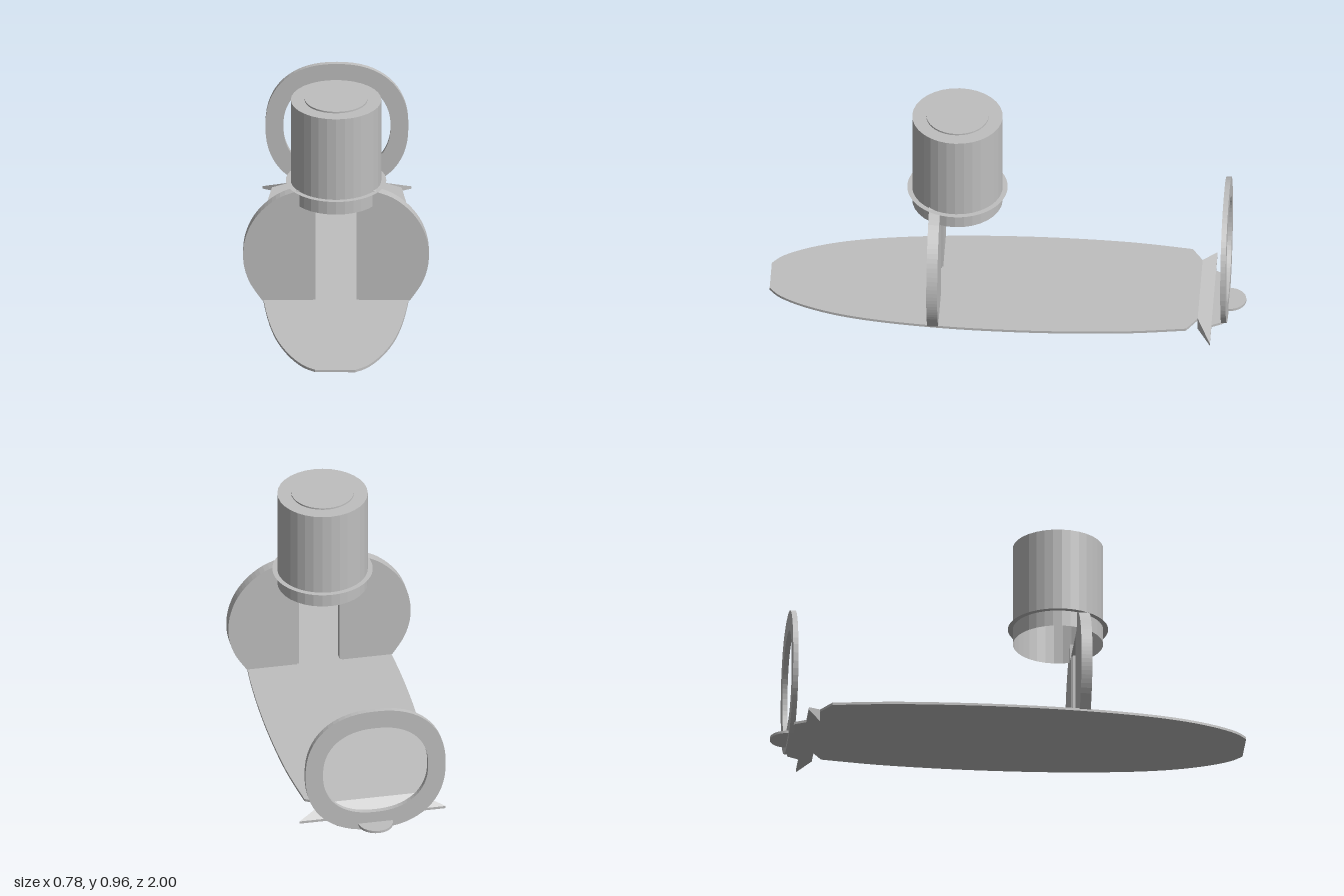
import * as THREE from 'three';
import { ConvexGeometry } from 'three/addons/geometries/ConvexGeometry.js';

const grey = new THREE.MeshStandardMaterial({ color: 0xbfbfbf });
grey.name = 'grey';
const greyOpen = grey;
greyOpen.side = THREE.DoubleSide; // the tube and collar are open surfaces

const vec = (pts) => pts.map(([x, y]) => new THREE.Vector2(x, y));

export function createModel() {
  const model = new THREE.Group();
  const add = (name, geometry, x = 0, y = 0, z = 0) => {
    const mesh = new THREE.Mesh(geometry, grey);
    mesh.name = name;
    mesh.position.set(x, y, z);
    model.add(mesh);
    return mesh;
  };
  const extrude = (shape, depth) =>
    new THREE.ExtrudeGeometry(shape, { depth, bevelEnabled: false, curveSegments: 24 });
  // Plate drawn in plan (x, z), hanging down from its top
  const plate = (shape, thickness) => extrude(shape, thickness).rotateX(Math.PI / 2);
  const faceted = (geometry) => {
    const g = geometry.toNonIndexed();
    g.computeVertexNormals();
    return g;
  };

  // Long board with a blunt front and clipped rear corners
  const side = new THREE.SplineCurve(vec([
    [0.085, 1], [0.14, 0.95], [0.2, 0.84], [0.25, 0.69], [0.285, 0.5],
    [0.31, 0.25], [0.32, 0], [0.318, -0.25], [0.303, -0.52], [0.272, -0.76],
  ])).getPoints(36);
  side.push(new THREE.Vector2(0.2, -0.805));
  const mirrored = side.map((p) => new THREE.Vector2(-p.x, p.y)).reverse();
  add('board', plate(new THREE.Shape([...side, ...mirrored]), 0.011), 0, 0.077, 0);

  // Sloping wedge that steps down behind the board
  const wedge = [];
  for (const s of [-1, 1]) {
    wedge.push(
      new THREE.Vector3(s * 0.2, 0.077, -0.805), new THREE.Vector3(s * 0.2, 0.022, -0.805),
      new THREE.Vector3(s * 0.313, 0.033, -0.862), new THREE.Vector3(s * 0.313, 0.022, -0.862));
  }
  add('rearWedge', new ConvexGeometry(wedge));

  // Tail tab and its round end
  add('tailTab', plate(new THREE.Shape(vec([
    [-0.19, -0.855], [-0.16, -0.912], [0.16, -0.912], [0.19, -0.855],
  ])), 0.011), 0, 0.033, 0);
  add('tailDisc', new THREE.CylinderGeometry(0.073, 0.073, 0.011, 32), 0, 0.0275, -0.926);

  // Upright rear hoop with slightly squared curves
  const oval = (rx, ry) => {
    const pts = [];
    for (let i = 0; i < 64; i++) {
      const a = (i / 64) * Math.PI * 2;
      const c = Math.cos(a), s = Math.sin(a), e = 2 / 2.3;
      pts.push(new THREE.Vector2(
        Math.sign(c) * rx * Math.abs(c) ** e, Math.sign(s) * ry * Math.abs(s) ** e));
    }
    return pts;
  };
  const hoop = new THREE.Shape(oval(0.3, 0.291));
  hoop.holes.push(new THREE.Path(oval(0.225, 0.208)));
  add('rearHoop', extrude(hoop, 0.022), 0, 0.291, -0.927);

  // Rounded upright supports on either side of the doorway
  const edge = new THREE.SplineCurve(vec([
    [0.31, 0.075], [0.358, 0.15], [0.383, 0.22], [0.39, 0.29], [0.38, 0.365],
    [0.35, 0.44], [0.3, 0.505], [0.235, 0.555], [0.153, 0.587],
  ])).getPoints(32);
  for (const s of [1, -1]) {
    const outline = [...edge, ...vec([[0.153, 0.505], [0.097, 0.505], [0.097, 0.075]])]
      .map((p) => new THREE.Vector2(p.x * s, p.y));
    add(s > 0 ? 'leftSupport' : 'rightSupport',
      extrude(new THREE.Shape(outline), 0.046), 0, 0, 0.28);
    // Slim lip lining the doorway
    add('doorwayLip', new THREE.BoxGeometry(0.01, 0.43, 0.036), s * 0.092, 0.29, 0.303);
  }
  add('doorwayBeam', new THREE.BoxGeometry(0.306, 0.009, 0.046), 0, 0.509, 0.303);

  // Open-bottomed drum with a flat lid, raised disc and thin collar
  const cz = 0.215, r = 0.19;
  add('drumWall', faceted(new THREE.CylinderGeometry(r, r, 0.444, 32, 1, true)), 0, 0.735, cz);
  add('drumLid', new THREE.CircleGeometry(r, 32).rotateX(-Math.PI / 2), 0, 0.957, cz);
  add('lidDisc', new THREE.CylinderGeometry(0.132, 0.132, 0.008, 32), 0, 0.96, cz);
  add('collar', new THREE.RingGeometry(r, 0.211, 48).rotateX(-Math.PI / 2), 0, 0.582, cz);

  return model;
}
